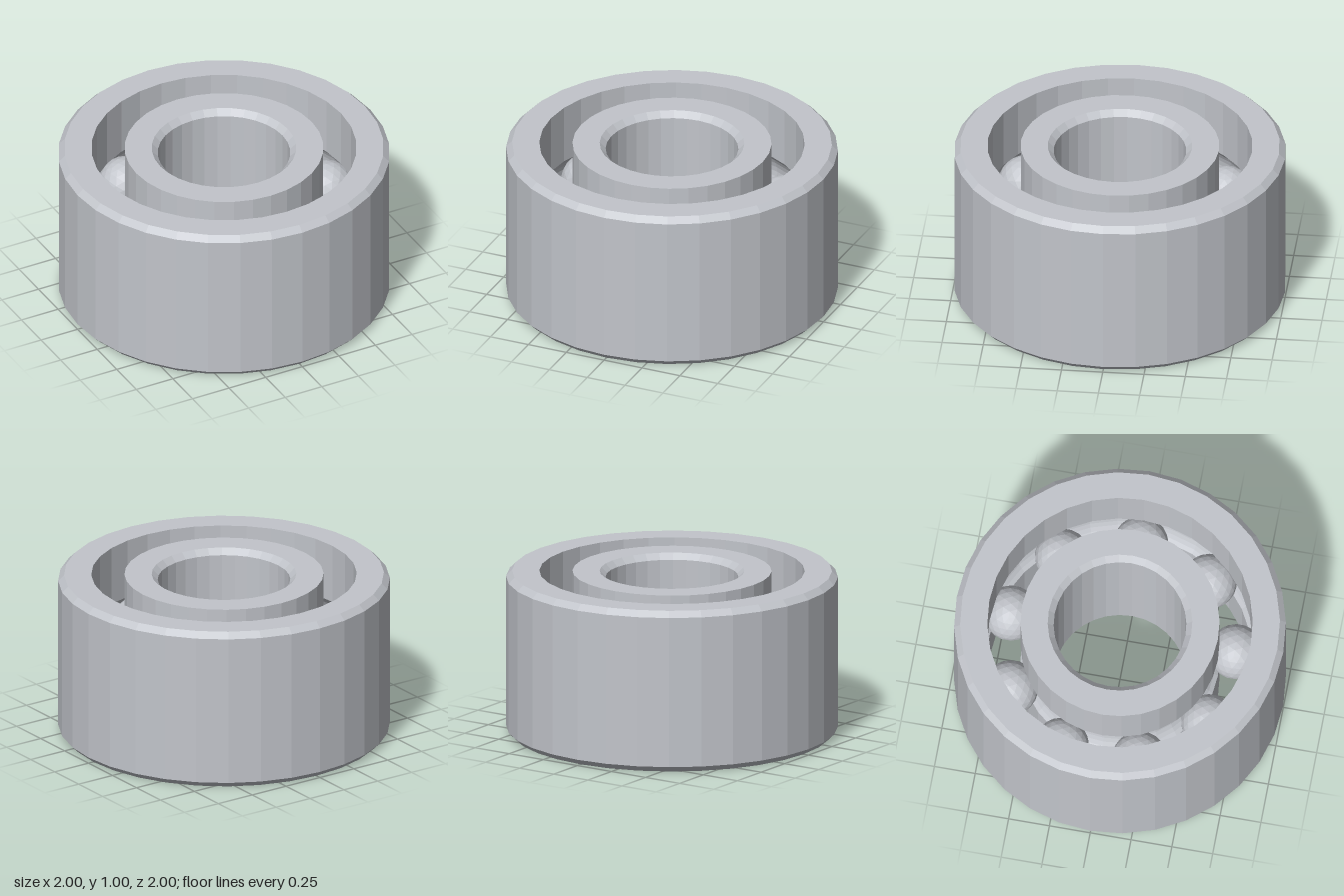
import * as THREE from 'three';

const SIDES = 32, PITCH = 0.7, MID = 0.5, GROOVE = 0.17, CHAMFER = 0.036;

// Give every face its own normal for a faceted look
function faceted(geometry) {
  const g = geometry.index ? geometry.toNonIndexed() : geometry;
  g.computeVertexNormals();
  return g;
}

// Arc of the raceway groove in the (radius, height) plane, around the ball centre
function groove(startAngle) {
  const half = Math.acos(0.1 / GROOVE), steps = 10, points = [];
  for (let i = 0; i <= steps; i++) {
    const a = startAngle + half - (2 * half * i) / steps;
    points.push([PITCH + GROOVE * Math.cos(a), MID + GROOVE * Math.sin(a)]);
  }
  return points;
}

function ring(name, profile, material) {
  const points = [...profile, profile[0]].map(([r, y]) => new THREE.Vector2(r, y));
  const mesh = new THREE.Mesh(faceted(new THREE.LatheGeometry(points, SIDES)), material);
  mesh.name = name;
  return mesh;
}

export function createModel() {
  const model = new THREE.Group();
  model.name = 'ballBearing';
  const steel = new THREE.MeshStandardMaterial({ color: 0xc2c5cb });
  steel.name = 'steel';

  // Outer ring: chamfered outside, raceway on its inner wall
  model.add(ring('outerRing', [
    [1 - CHAMFER, 0], [1, CHAMFER], [1, 1 - CHAMFER], [1 - CHAMFER, 1],
    [0.8, 1], ...groove(0), [0.8, 0],
  ], steel));

  // Inner ring: raceway on its outer wall, chamfered bore
  model.add(ring('innerRing', [
    [0.6, 0], ...groove(Math.PI).map(([r, y]) => [r, y]), [0.6, 1],
    [0.4 + CHAMFER, 1], [0.4, 1 - CHAMFER], [0.4, CHAMFER], [0.4 + CHAMFER, 0],
  ], steel));

  // Nine balls evenly spaced in the raceway
  const balls = new THREE.Group();
  balls.name = 'balls';
  const ballGeometry = faceted(new THREE.IcosahedronGeometry(0.167, 3));
  for (let i = 0; i < 9; i++) {
    const a = (i / 9) * Math.PI * 2;
    const ball = new THREE.Mesh(ballGeometry, steel);
    ball.name = 'ball';
    ball.position.set(PITCH * Math.cos(a), MID, PITCH * Math.sin(a));
    balls.add(ball);
  }
  model.add(balls);
  return model;
}
